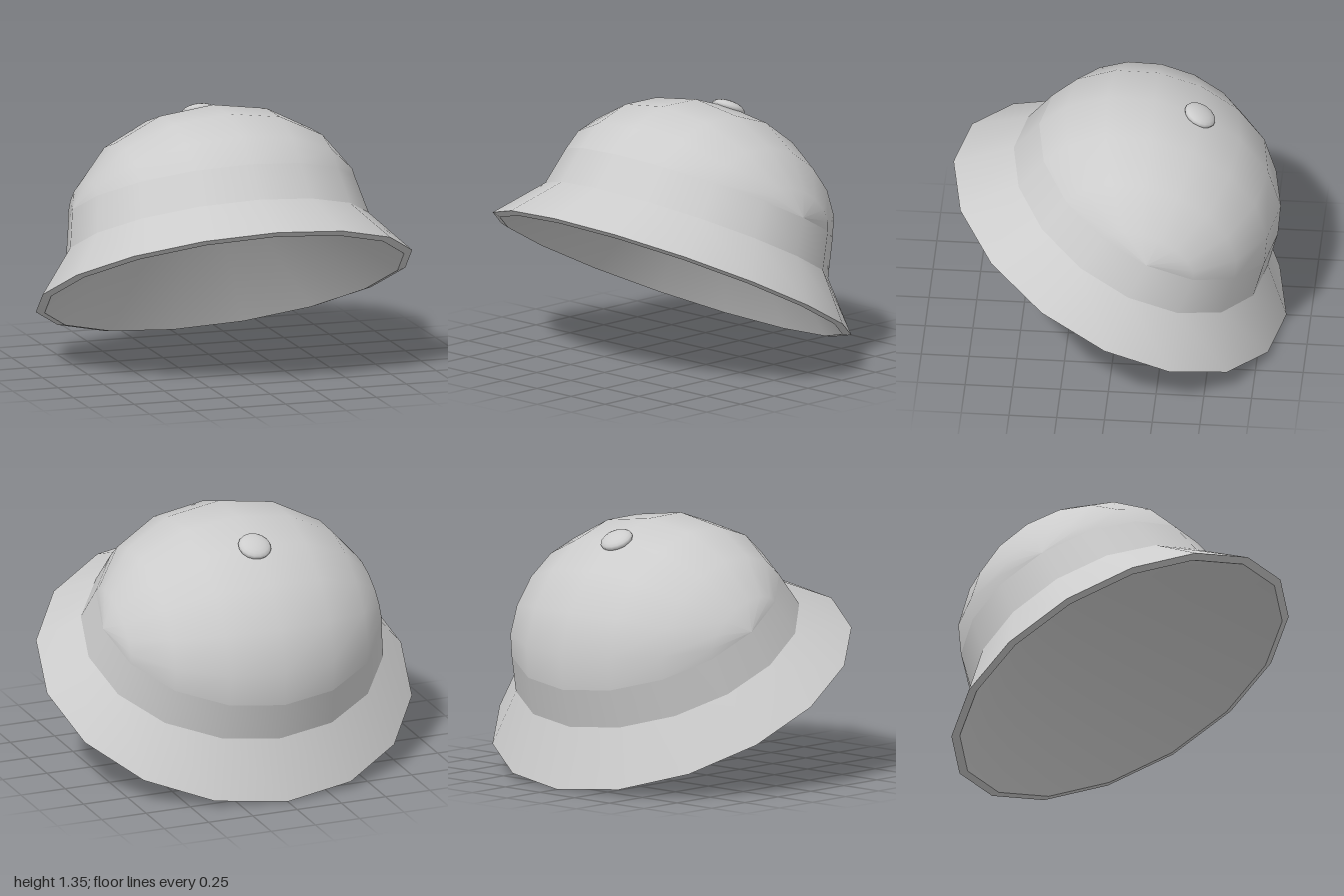
import * as THREE from 'three';

const SIDES = 16;

// Sixteen-sided ring surface; each profile point is [depth radius, height, width radius]
function ovalLathe(profile) {
  const g = new THREE.LatheGeometry(profile.map(([r, h]) => new THREE.Vector2(r, h)), SIDES);
  const pos = g.attributes.position, nor = g.attributes.normal, n = new THREE.Vector3();
  for (let i = 0; i < pos.count; i++) {
    const [r, , w] = profile[i % profile.length];
    n.fromBufferAttribute(nor, i);
    if (r > 0) {
      pos.setX(i, pos.getX(i) * w / r);
      n.x *= r / w;
      n.normalize();
    } else {
      n.set(0, -1, 0); // smooth tip of the hollow
    }
    nor.setXYZ(i, n.x, n.y, n.z);
  }
  return g;
}

// Half sphere with its poles at the two sides, drawn in towards the shoulders
function crownDome(width, height, depth) {
  const g = new THREE.SphereGeometry(1, SIDES / 2, SIDES / 2, 0, Math.PI);
  g.applyMatrix4(new THREE.Matrix4().makeBasis(
    new THREE.Vector3(0, 0, 1), new THREE.Vector3(1, 0, 0), new THREE.Vector3(0, 1, 0)));
  const pos = g.attributes.position;
  for (let i = 0; i < pos.count; i++) {
    const x = pos.getX(i), y = pos.getY(i);
    pos.setY(i, y * (1 - 0.2 * (1 - y) ** 2) * (1 - 0.35 * x ** 6));
    pos.setZ(i, pos.getZ(i) * (1 - 0.065 * y));
  }
  g.scale(width, height, depth);
  g.computeVertexNormals();
  return g;
}

export function createModel() {
  const model = new THREE.Group();
  model.name = 'helmet';
  const shell = new THREE.MeshStandardMaterial({ color: 0xcccccc });
  shell.name = 'light grey';

  // The whole helmet leans back so the front of the brim lifts
  const tilted = new THREE.Group();
  tilted.name = 'tiltedHelmet';
  tilted.position.y = 0.447;
  tilted.rotation.x = -0.472;
  model.add(tilted);

  const add = (name, geometry) => {
    const mesh = new THREE.Mesh(geometry, shell);
    mesh.name = name;
    tilted.add(mesh);
    return mesh;
  };

  // Shared rings, so neighbouring parts meet at sharp creases
  const rim = [0.979, 0, 1];
  const brimTop = [0.747, 0.24, 0.81];
  const bandTop = [0.702, 0.444, 0.767];
  const lip = [0.936, -0.012, 0.955];

  add('brim', ovalLathe([rim, brimTop]));
  add('band', ovalLathe([brimTop, bandTop]));
  add('crown', crownDome(bandTop[2], 0.481, bandTop[0])).position.y = bandTop[1];

  // Narrow underside edge and the conical hollow inside
  add('rimEdge', ovalLathe([lip, rim]));
  add('lining', ovalLathe([[0, 0.74, 0], lip]));

  // Flat button on the top of the crown
  const button = add('topButton', new THREE.SphereGeometry(0.088, 16, 10));
  button.scale.y = 0.4;
  button.position.y = 0.922;

  return model;
}
